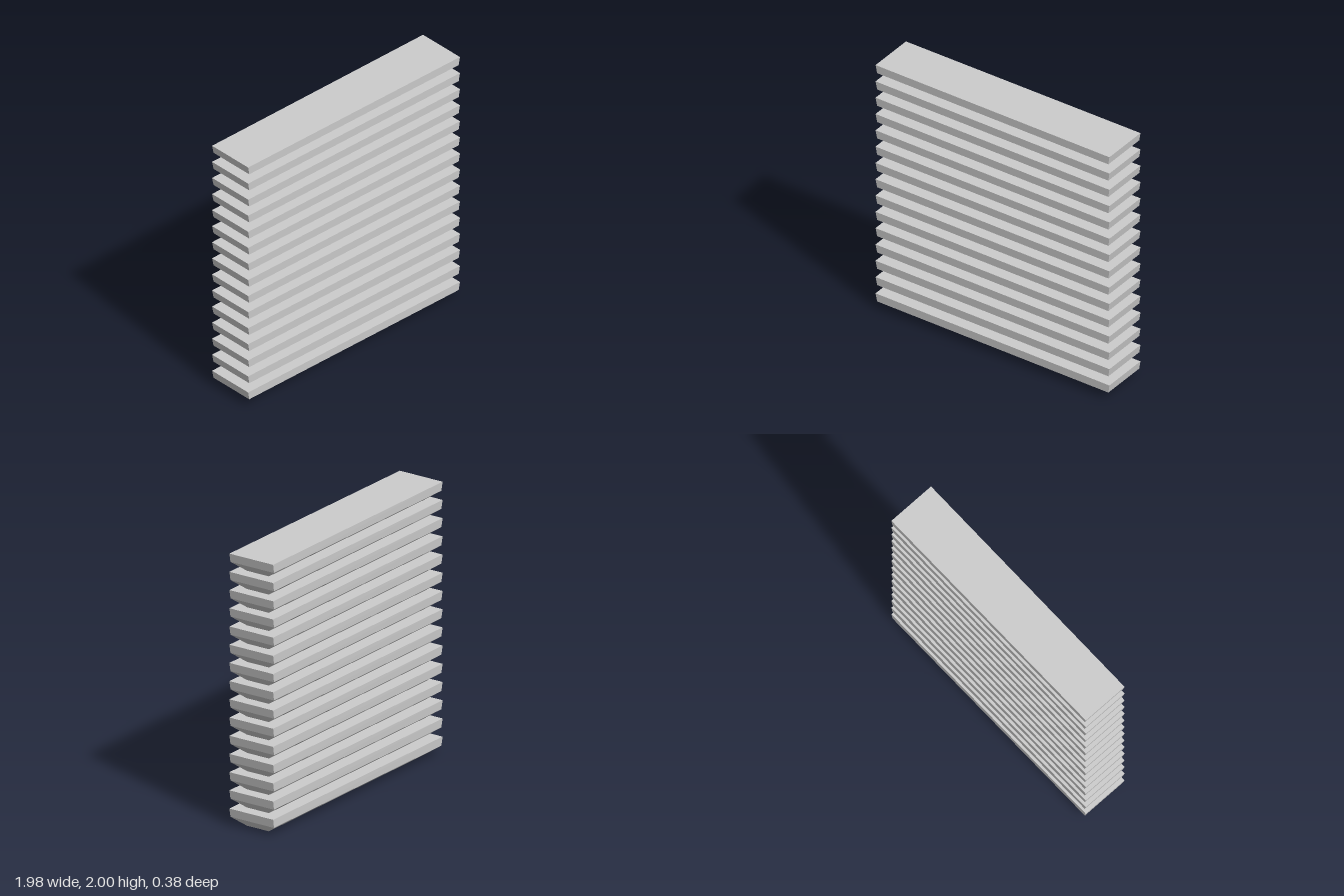
import * as THREE from 'three';

const COUNT = 15;
const PITCH = 0.1337;

// Slat cross-sections from bottom to top; corners run counter-clockwise seen from above.
// The outline is very slightly skewed, like a hand-cut board.
const LEVELS = [
  { y: 0.0, corners: [[-0.905, 0.085], [0.91, 0.095], [0.91, -0.09], [-0.905, -0.095]] },
  { y: 0.065, corners: [[-0.978, 0.17], [0.975, 0.188], [0.975, -0.18], [-0.978, -0.188]] },
  { y: 0.128, corners: [[-0.99, 0.172], [0.985, 0.19], [0.985, -0.18], [-0.99, -0.19]] },
];

// Joins the cross-sections into a closed, faceted solid
function slatGeometry() {
  const rings = LEVELS.map(({ y, corners }) => corners.map(([x, z]) => [x, y, z]));
  const positions = [];
  const quad = (a, b, c, d) => positions.push(...a, ...b, ...c, ...a, ...c, ...d);
  for (let k = 0; k < rings.length - 1; k++) {
    for (let i = 0; i < 4; i++) {
      const j = (i + 1) % 4;
      quad(rings[k][i], rings[k][j], rings[k + 1][j], rings[k + 1][i]);
    }
  }
  quad(...rings[rings.length - 1]);
  quad(...[...rings[0]].reverse());
  const geometry = new THREE.BufferGeometry();
  geometry.setAttribute('position', new THREE.Float32BufferAttribute(positions, 3));
  geometry.computeVertexNormals();
  return geometry;
}

export function createModel() {
  const group = new THREE.Group();
  group.name = 'slatStack';
  const geometry = slatGeometry();
  const material = new THREE.MeshStandardMaterial({ color: 0xcccccc, flatShading: true });

  // Evenly spaced slats with open gaps between them
  for (let i = 0; i < COUNT; i++) {
    const slat = new THREE.Mesh(geometry, material);
    slat.name = `slat${i + 1}`;
    slat.position.y = i * PITCH;
    group.add(slat);
  }
  return group;
}
